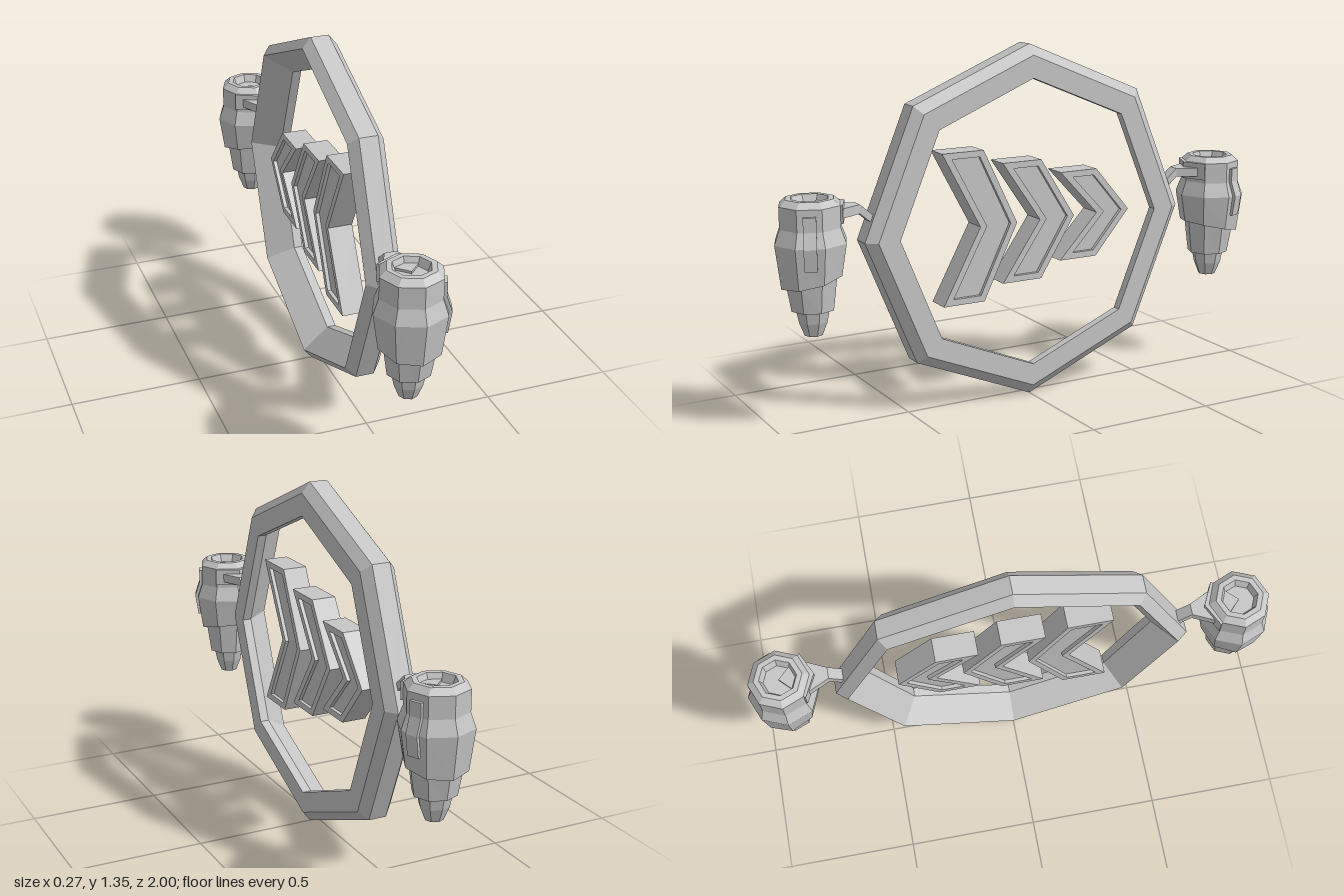
import * as THREE from 'three';

const grey = new THREE.MeshStandardMaterial({ color: 0xc6c6c6 });
grey.name = 'grey';

// Faceted mesh: split the vertices so every face gets its own flat normal
function part(name, geometry, parent) {
  const g = geometry.index ? geometry.toNonIndexed() : geometry;
  g.computeVertexNormals();
  const mesh = new THREE.Mesh(g, grey);
  mesh.name = name;
  parent.add(mesh);
  return mesh;
}

const points = (list) => list.map(([x, y]) => new THREE.Vector2(x, y));

// Shrink a counter-clockwise outline by d with mitred corners
function inset(outline, d) {
  const n = outline.length;
  const normal = (a, b) => new THREE.Vector2(a.y - b.y, b.x - a.x).normalize();
  return outline.map((p, i) => {
    const n1 = normal(outline[(i + n - 1) % n], p);
    const n2 = normal(p, outline[(i + 1) % n]);
    return p.clone().addScaledVector(n1.clone().add(n2), d / (1 + n1.dot(n2)));
  });
}

// Extrude an outline symmetrically about its own plane
function slab(shape, depth) {
  return new THREE.ExtrudeGeometry(shape, { depth, bevelEnabled: false }).translate(0, 0, -depth / 2);
}

// Octagonal ring: chamfered outside, flat face on the left (+x), inside flaring out towards the right
function addRing(parent) {
  const profile = points([
    [0.635, -0.067], [0.675, -0.035], [0.675, 0.035], [0.635, 0.067],
    [0.55, 0.067], [0.55, 0.032], [0.635, -0.067],
  ]);
  const g = new THREE.LatheGeometry(profile, 8).rotateZ(-Math.PI / 2);
  part('ring', g, parent).position.y = 0.676;
}

// Arrow-shaped block with a recessed panel on both sides
function addChevron(parent, back, width, halfHeight, tip) {
  const y = 0.686;
  const outline = points([
    [back, y + halfHeight], [back - width, y + halfHeight], [tip, y],
    [back - width, y - halfHeight], [back, y - halfHeight], [tip + width - 0.015, y],
  ]);
  const inner = inset(outline, 0.024);
  const rim = new THREE.Shape(outline);
  rim.holes.push(new THREE.Path(inner));
  const group = new THREE.Group();
  group.name = 'chevron';
  part('chevronRim', slab(rim, 0.095).rotateY(-Math.PI / 2), group);
  part('chevronCore', slab(new THREE.Shape(inner), 0.067).rotateY(-Math.PI / 2), group);
  parent.add(group);
}

// Pod built around its own vertical axis, outward side towards +z
function createPod(panelAngle) {
  const pod = new THREE.Group();

  // Stepped octagonal hull with a nozzle hole below and a dished top
  const hull = new THREE.LatheGeometry(points([
    [0, 0.375], [0.018, 0.375], [0.018, 0.36], [0.034, 0.36], [0.054, 0.41], [0.063, 0.455],
    [0.08, 0.455], [0.096, 0.54], [0.115, 0.54], [0.135, 0.7], [0.115, 0.755],
    [0.115, 0.835], [0.09, 0.857], [0.07, 0.857], [0.058, 0.827], [0, 0.827],
  ]), 8);
  // Lower lip of the hull rises towards the ring
  const p = hull.attributes.position;
  for (let i = 0; i < p.count; i++) {
    if (Math.abs(p.getY(i) - 0.54) < 0.001) p.setY(i, 0.54 + 0.05 * (0.5 - p.getZ(i) / 0.23));
  }
  part('podHull', hull, pod);

  // Raised plate that follows the bulge of one facet
  const plate = new THREE.Shape(points([
    [0.09, 0.62], [0.125, 0.62], [0.137, 0.7], [0.118, 0.757], [0.118, 0.81], [0.09, 0.81],
  ]));
  part('sidePlate', slab(plate, 0.046).rotateY(panelAngle), pod);

  // Collar wrapping the two facets that face the ring
  const wedge = new THREE.Shape(points([[0, 0], [0.088, 0.088], [0, 0.131], [-0.088, 0.088]]));
  part('collar', slab(wedge, 0.066).rotateX(-Math.PI / 2), pod).position.y = 0.803;

  // Bent strut, wide at the pod and narrow at the ring
  const strut = new THREE.BoxGeometry(1, 1, 1, 1, 1, 2);
  const sections = [[-0.25, 0.74, 0.044], [-0.18, 0.8, 0.044], [-0.1, 0.8, 0.12]];
  const q = strut.attributes.position;
  for (let i = 0; i < q.count; i++) {
    const [z, y, width] = sections[Math.round(q.getZ(i) * 2 + 1)];
    q.setXYZ(i, q.getX(i) * width, y + q.getY(i) * 0.034, z);
  }
  part('strut', strut, pod);
  return pod;
}

export function createModel() {
  const model = new THREE.Group();
  model.name = 'ringWithPods';

  addRing(model);

  // Three chevrons, shrinking towards the back
  addChevron(model, 0.37, 0.17, 0.287, 0.06);
  addChevron(model, 0.12, 0.165, 0.23, -0.19);
  addChevron(model, -0.13, 0.16, 0.172, -0.438);

  // Front and back pods, both with the plate on the left side
  const tilt = Math.PI / 8;
  const front = createPod(-tilt);
  front.name = 'frontPod';
  front.position.z = 0.865;
  const back = createPod(tilt - Math.PI);
  back.name = 'backPod';
  back.rotation.y = Math.PI;
  back.position.z = -0.865;
  model.add(front, back);

  return model;
}
